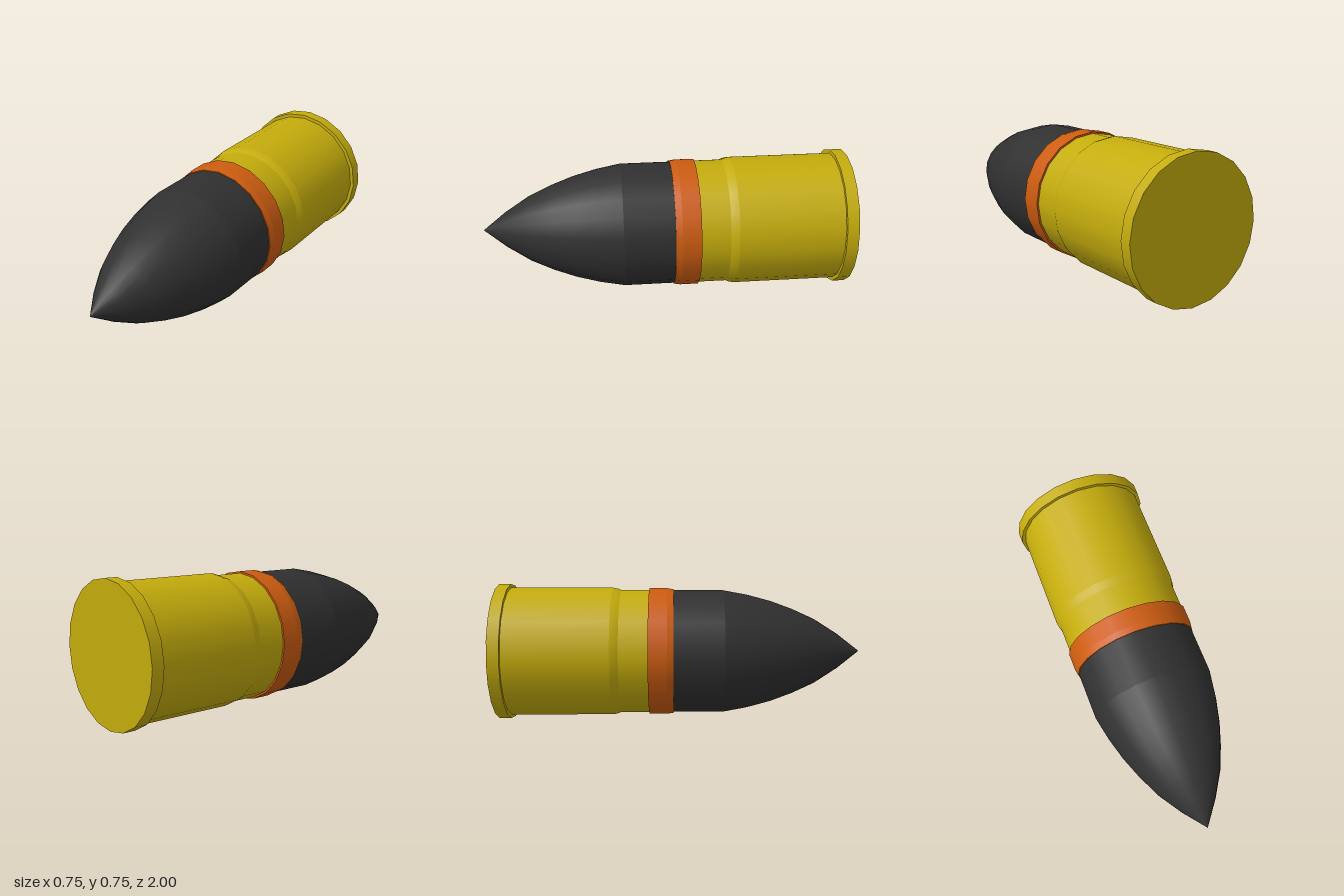
import * as THREE from 'three';

const SIDES = 20;
const AXIS_Y = 0.375;

// Each run is a list of [radius, z] points; runs stay sharp where they meet.
function turnedPart(name, color, runs) {
  const part = new THREE.Group();
  part.name = name;
  const material = new THREE.MeshStandardMaterial({ color });
  runs.forEach((run, i) => {
    const points = run.map(([r, z]) => new THREE.Vector2(r, z));
    const mesh = new THREE.Mesh(new THREE.LatheGeometry(points, SIDES), material);
    mesh.name = `${name}Surface${i + 1}`;
    part.add(mesh);
  });
  part.rotation.x = Math.PI / 2; // lathe axis to +z
  part.position.y = AXIS_Y;
  return part;
}

export function createModel() {
  const model = new THREE.Group();
  model.name = 'shell';

  // Brass case: flat base, rim, body, shoulder and neck
  model.add(turnedPart('case', 0xc4ac0c, [
    [[0, -1], [0.375, -1]],
    [[0.375, -1], [0.375, -0.935]],
    [[0.375, -0.935], [0.355, -0.935]],
    [[0.355, -0.935], [0.355, -0.37]],
    [[0.355, -0.37], [0.35, -0.345], [0.342, -0.325]],
    [[0.342, -0.325], [0.342, -0.17]],
  ]));

  // Driving band with a bevelled front edge
  model.add(turnedPart('drivingBand', 0xcc5c10, [
    [[0.33, -0.17], [0.352, -0.17]],
    [[0.352, -0.17], [0.352, -0.07]],
    [[0.352, -0.07], [0.346, -0.035]],
    [[0.346, -0.035], [0.335, -0.035]],
  ]));

  // Projectile: straight body and pointed curved nose
  model.add(turnedPart('projectile', 0x303030, [
    [[0.341, -0.05], [0.341, 0.235]],
    [[0.341, 0.235], [0.316, 0.37], [0.281, 0.5], [0.237, 0.62], [0.18, 0.745], [0.097, 0.875], [0, 1]],
  ]));

  return model;
}
